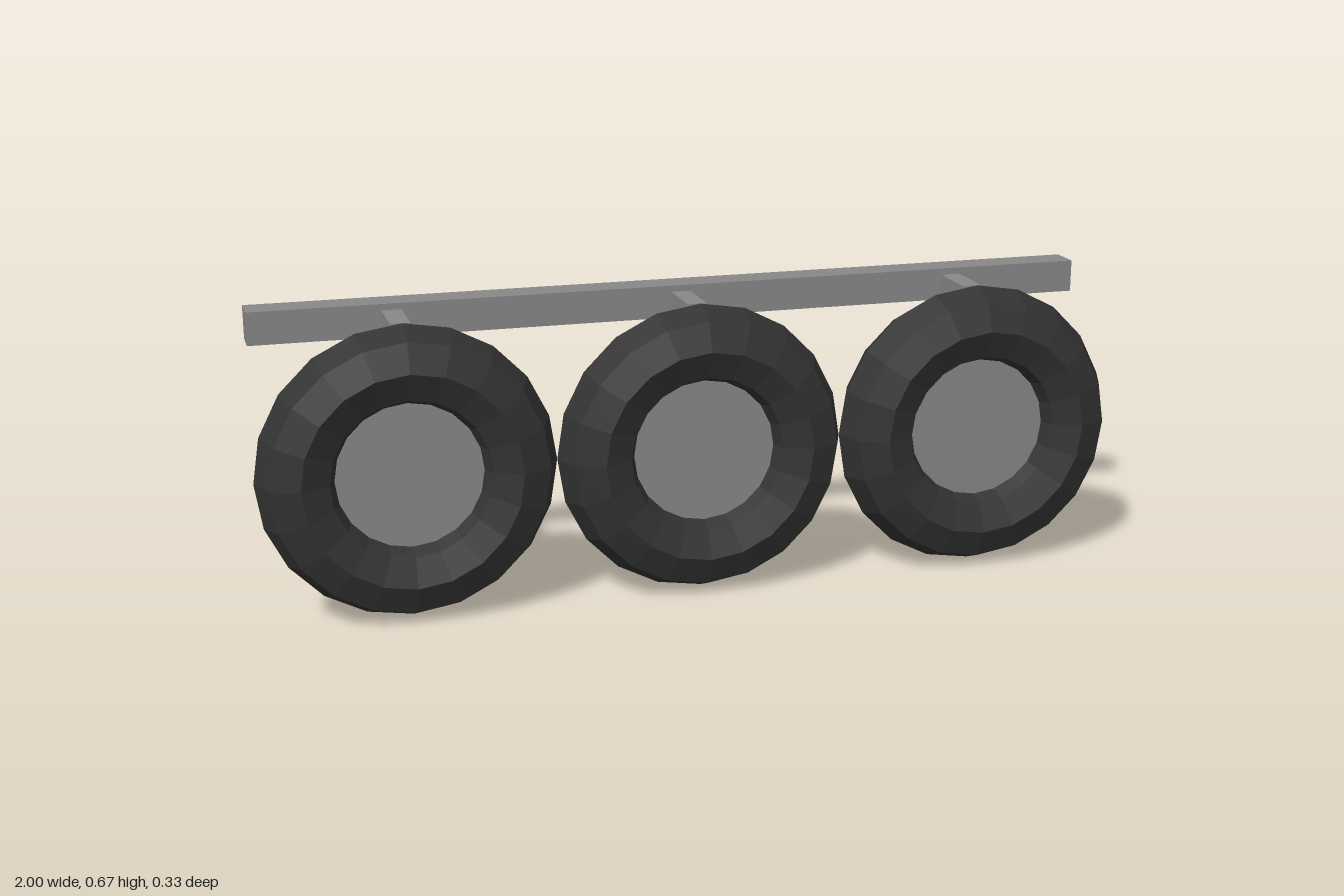
import * as THREE from 'three';

const SPACING = 0.667, WHEEL_Y = 0.335, WHEEL_Z = 0.073;

export function createModel() {
  const group = new THREE.Group();
  group.name = 'wheelRack';
  const rubber = new THREE.MeshStandardMaterial({ color: 0x333333, flatShading: true });
  const metal = new THREE.MeshStandardMaterial({ color: 0x888888, flatShading: true });

  const add = (parent, name, geometry, material, x, y, z) => {
    const mesh = new THREE.Mesh(geometry, material);
    mesh.name = name;
    mesh.position.set(x, y, z);
    parent.add(mesh);
  };

  // Shared shapes: low-poly tyre, hub disc facing z, short bracket
  const tyre = new THREE.TorusGeometry(0.2424, 0.0909, 8, 20);
  const hub = new THREE.CylinderGeometry(0.167, 0.167, 0.06, 32).rotateX(Math.PI / 2);
  const bracket = new THREE.BoxGeometry(0.045, 0.045, 0.15);

  // Three wheels in a row, each with a bracket reaching back to the beam
  for (const i of [-1, 0, 1]) {
    const wheel = new THREE.Group();
    wheel.name = 'wheel';
    wheel.position.set(i * SPACING, WHEEL_Y, WHEEL_Z);
    add(wheel, 'tyre', tyre, rubber, 0, 0, 0);
    add(wheel, 'hub', hub, metal, 0, 0, 0);
    group.add(wheel);
    add(group, 'bracket', bracket, metal, i * SPACING, 0.639, -0.031);
  }

  // Long beam behind the wheels
  add(group, 'beam', new THREE.BoxGeometry(1.97, 0.075, 0.075), metal, 0, 0.6385, -0.125);
  return group;
}
